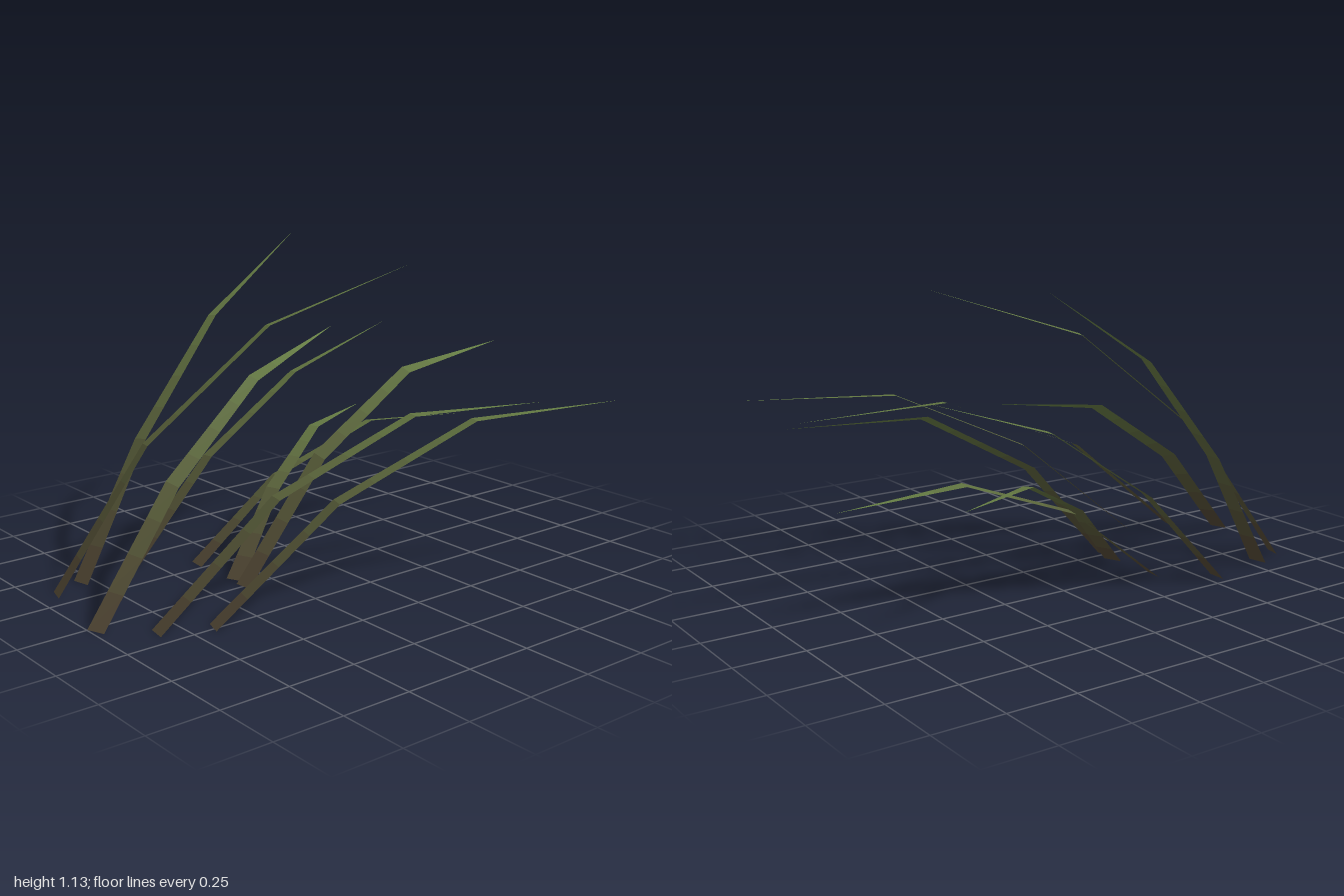
import * as THREE from 'three';

// Each blade: base [x, z], two bends [x, y], tip [x, y, z], sideways bank
const BLADES = [
  { base: [-0.80, -0.39], bends: [[-0.49, 0.46], [-0.10, 0.858]], tip: [0.38, 1.13, -0.675], bank: 0.16 },
  { base: [-0.55, -0.44], bends: [[-0.22, 0.355], [0.18, 0.625]], tip: [0.64, 0.775, -0.41], bank: 0.1 },
  { base: [-0.925, -0.34], bends: [[-0.60, 0.50], [-0.15, 0.885]], tip: [0.40, 1.07, 0.0], bank: 0.1 },
  { base: [-0.375, -0.29], bends: [[-0.03, 0.285], [0.39, 0.437]], tip: [0.845, 0.403, -0.173], bank: 0.12 },
  { base: [-0.985, 0.03], bends: [[-0.58, 0.385], [-0.10, 0.66]], tip: [0.435, 0.765, -0.497], bank: -0.4 },
  { base: [-0.36, -0.07], bends: [[-0.10, 0.265], [0.20, 0.425]], tip: [0.555, 0.43, -0.477], bank: -0.05 },
  { base: [-0.375, 0.0], bends: [[0.0, 0.40], [0.46, 0.65]], tip: [1.0, 0.69, -0.138], bank: -0.4 },
  { base: [-0.84, 0.165], bends: [[-0.40, 0.385], [0.14, 0.60]], tip: [0.70, 0.575, 0.388], bank: -0.06 },
  { base: [-0.67, 0.24], bends: [[-0.25, 0.375], [0.24, 0.606]], tip: [0.795, 0.62, 0.67], bank: -0.05 },
];

const WIDTHS = [0.07, 0.055, 0.04, 0]; // taper from base to point
const BANKING = [0, 0.7, 1, 1];
const PARTS = ['bladeBase', 'bladeMiddle', 'bladeTip'];
const STEPS = 4; // colour steps in each part

// Brown at the root fading to green at the point
const ROOT = new THREE.Color(0x4c4230), POINT = new THREE.Color(0x668044);
const MATERIALS = Array.from({ length: PARTS.length * STEPS }, (_, i) =>
  new THREE.MeshStandardMaterial({
    color: ROOT.clone().lerp(POINT, i / (PARTS.length * STEPS - 1)), side: THREE.DoubleSide }));

// Left and right edge points of the ribbon at every bend
function crossSections({ base, bends, tip, bank }) {
  const dx = tip[0] - base[0], dz = tip[2] - base[1];
  const len = Math.hypot(dx, dz);
  const points = [[base[0], 0], ...bends, [tip[0], tip[1]]];
  return points.map(([x, y], i) => {
    const center = new THREE.Vector3(x, y, base[1] + dz * (x - base[0]) / dx);
    const half = new THREE.Vector3(-dz / len, bank * BANKING[i], dx / len)
      .multiplyScalar(WIDTHS[i] / 2);
    return [center.clone().sub(half), center.clone().add(half)];
  });
}

// Edge points partway between two cross-sections
const between = (a, b, t) => a.map((p, side) => p.clone().lerp(b[side], t));

// One flat piece between two neighbouring cross-sections
function ribbonPiece([l0, r0], [l1, r1], pointed) {
  const corners = pointed ? [l0, r0, r1] : [l0, r0, r1, l0, r1, l1];
  const geometry = new THREE.BufferGeometry().setFromPoints(corners);
  geometry.computeVertexNormals();
  return geometry;
}

export function createModel() {
  const model = new THREE.Group();
  model.name = 'grassTuft';
  for (const spec of BLADES) {
    const blade = new THREE.Group();
    blade.name = 'grassBlade';
    const sections = crossSections(spec);
    PARTS.forEach((name, i) => {
      for (let s = 0; s < STEPS; s++) {
        const k = i * STEPS + s;
        const start = between(sections[i], sections[i + 1], s / STEPS);
        const end = between(sections[i], sections[i + 1], (s + 1) / STEPS);
        const mesh = new THREE.Mesh(
          ribbonPiece(start, end, k === MATERIALS.length - 1), MATERIALS[k]);
        mesh.name = name;
        blade.add(mesh);
      }
    });
    model.add(blade);
  }
  return model;
}
